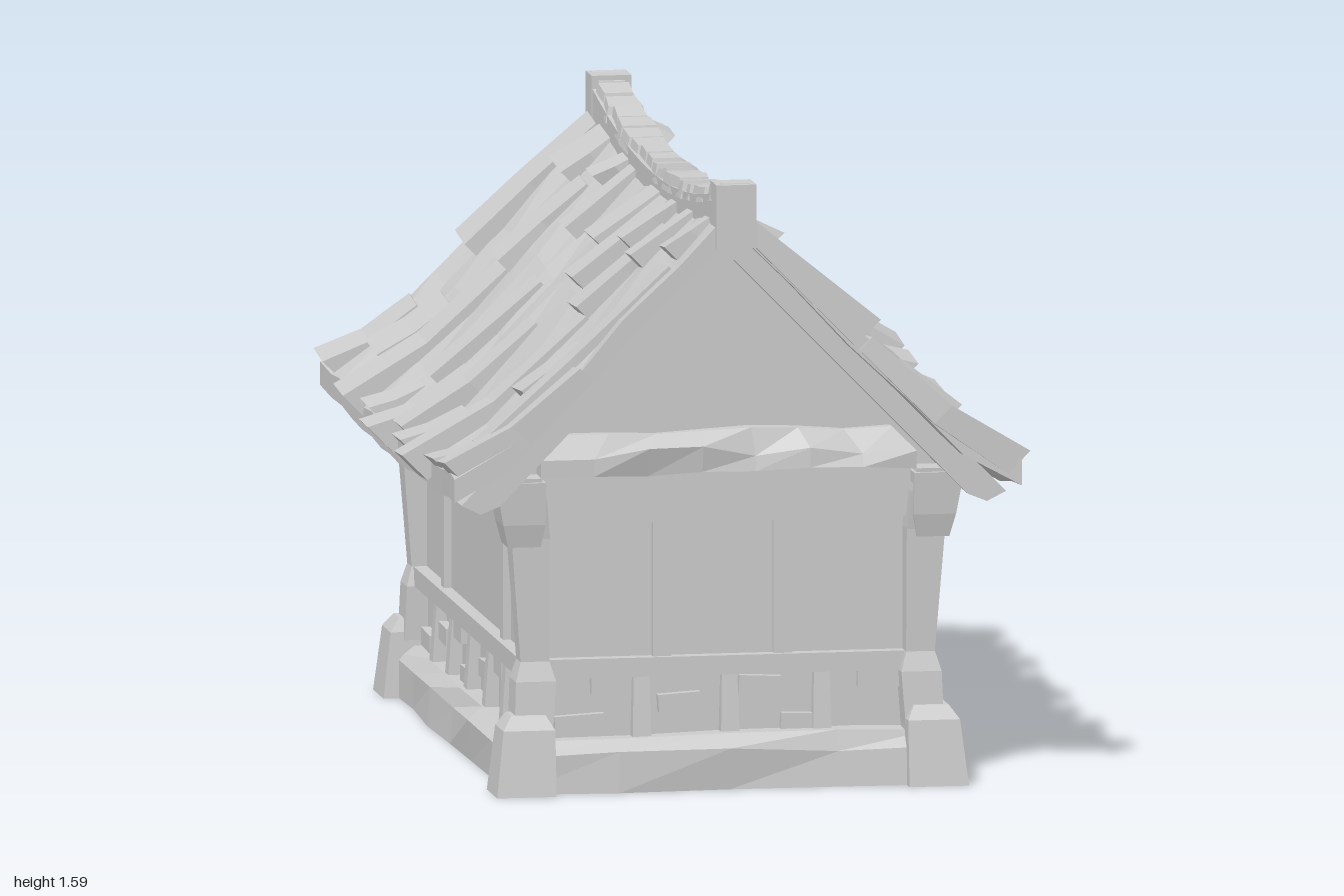
import * as THREE from 'three';

const material = new THREE.MeshStandardMaterial({ color: 0xcccccc, flatShading: true, side: THREE.DoubleSide });

// Repeatable offset in -1..1 for a point, so coincident corners move together
const noise = (a, b, c) => {
  const s = Math.sin(a * 127.1 + b * 311.7 + c * 74.7) * 43758.5453;
  return (s - Math.floor(s)) * 2 - 1;
};

function addMesh(parent, name, geometry) {
  const g = geometry.index ? geometry.toNonIndexed() : geometry;
  g.computeVertexNormals();
  const mesh = new THREE.Mesh(g, material);
  mesh.name = name;
  parent.add(mesh);
  return mesh;
}

// Moves every vertex of a geometry by a rule (x, y, z) => [x, y, z]
function warp(geometry, rule) {
  const p = geometry.attributes.position;
  for (let i = 0; i < p.count; i++) p.setXYZ(i, ...rule(p.getX(i), p.getY(i), p.getZ(i)));
  return geometry;
}

// Box given by its limits
function box(parent, name, x0, x1, y0, y1, z0, z1) {
  const g = new THREE.BoxGeometry(x1 - x0, y1 - y0, z1 - z0);
  g.translate((x0 + x1) / 2, (y0 + y1) / 2, (z0 + z1) / 2);
  return addMesh(parent, name, g);
}

// Solid lofted through rectangular sections [y, x0, x1, z0, z1]
function stack(parent, name, sections) {
  const g = new THREE.BoxGeometry(1, 1, 1, 1, sections.length - 1, 1);
  return addMesh(parent, name, warp(g, (x, y, z) => {
    const s = sections[Math.round((y + 0.5) * (sections.length - 1))];
    return [x < 0 ? s[1] : s[2], s[0], z < 0 ? s[3] : s[4]];
  }));
}

// Roof shape: sagging ridge, 45 degree slope, kicked-out eaves
const roofY = (x, z) => 1.46 + 0.06 * z * z - 1.02 * x + 2 * Math.max(0, x - 0.55) ** 2;
const ridgeTop = (z) => 1.47 + 0.105 * z * z;

function addRoofSlope(parent, side, shingles) {
  const slope = new THREE.Group();
  slope.name = side > 0 ? 'leftRoofSlope' : 'rightRoofSlope';
  parent.add(slope);
  const slab = new THREE.BoxGeometry(1, 1, 1, 5, 1, 16);
  addMesh(slope, 'roofSlab', warp(slab, (px, py, pz) => {
    const u = 0.5 + side * px;
    const z = pz * 2 * (0.945 + 0.045 * u);
    const x = u * (0.71 + 0.03 * z * z);
    const bump = 0.014 * noise(u * 3, pz * 5, side);
    return [side * x, roofY(x, z) + (py > 0 ? 0.015 + bump : -0.05 + bump * 0.5), z];
  }));
  // Wedge shingles, thicker at the lower edge: [z, width, upper x, lower x]
  shingles.forEach(([zc, w, x0, x1], i) => {
    const g = new THREE.BoxGeometry(1, 1, 1, 2, 1, 1);
    const thick = 0.042 + 0.01 * noise(i, 3, side);
    addMesh(slope, 'shingle', warp(g, (px, py, pz) => {
      const u = 0.5 + side * px;
      const skew = 0.012 * noise(i, Math.round(u * 2), side);
      const z = zc + pz * w * (0.9 + 0.12 * u) + skew;
      const x = x0 + (x1 - x0) * u;
      const lift = py > 0 ? 0.018 + thick * u : -0.03;
      return [side * (x + lift * 0.7), roofY(x, z) + lift * 0.7, z];
    }));
  });
}

// One timbered wall, facing local +z
function addWall(parent, name, angle, half, dist, studs, posts, bricks, headTop) {
  const wall = new THREE.Group();
  wall.name = name;
  wall.rotation.y = angle;
  parent.add(wall);
  box(wall, 'topRail', -half, half, 0.69, headTop, dist - 0.05, dist + 0.035);
  box(wall, 'middleRail', -half, half, 0.29, 0.34, dist - 0.05, dist + 0.035);
  for (const u of studs) box(wall, 'stud', u - 0.024, u + 0.024, 0.33, 0.7, dist - 0.05, dist + 0.02);
  posts.forEach((u) => stack(wall, 'shortPost', [
    [0.1, u - 0.025, u + 0.025, dist - 0.04, dist + 0.04],
    [0.3, u - 0.02, u + 0.02, dist - 0.04, dist + 0.025],
  ]));
  for (const [u, y, w] of bricks) {
    const brick = box(wall, 'brick', -w / 2, w / 2, -0.023, 0.023, -0.02, 0.024);
    brick.position.set(u, y, dist);
    brick.rotation.z = 0.07 * noise(u, y, 1);
  }
}

export function createModel() {
  const house = new THREE.Group();
  house.name = 'cottage';

  // Uneven stone plinth with a sloping top edge
  const plinth = new THREE.BoxGeometry(1, 1, 1, 4, 2, 6);
  addMesh(house, 'plinth', warp(plinth, (x, y, z) => {
    const top = y > 0.4, inset = top ? 0.035 : 0;
    const n = 0.012 * noise(x * 3, y, z * 4);
    return [x * 2 * (0.575 - inset + n), top ? 0.138 + n * 0.6 : y < -0.4 ? 0 : 0.1 + n, z * 2 * (0.875 - inset + n)];
  }));
  box(house, 'wallCore', -0.5, 0.5, 0.1, 0.81, -0.78, 0.78);

  // Timber walls on all four sides
  const endBricks = [[-0.3, 0.27, 0.1], [-0.12, 0.22, 0.11], [0.09, 0.26, 0.11], [0.4, 0.27, 0.11], [-0.38, 0.17, 0.13], [0.19, 0.16, 0.09]];
  const sideBricks = [[-0.57, 0.27, 0.1], [-0.41, 0.22, 0.11], [-0.19, 0.26, 0.11], [0.18, 0.22, 0.11],
    [0.4, 0.26, 0.11], [0.69, 0.27, 0.1], [-0.66, 0.165, 0.13], [-0.1, 0.16, 0.1]];
  for (const [name, angle] of [['frontWall', 0], ['backWall', Math.PI]])
    addWall(house, name, angle, 0.48, 0.78, [-0.165, 0.15], [-0.22, 0.01, 0.25], endBricks, 0.825);
  for (const [name, angle] of [['leftWall', Math.PI / 2], ['rightWall', -Math.PI / 2]])
    addWall(house, name, angle, 0.77, 0.5, [-0.43, 0.44], [-0.5, -0.27, 0, 0.27, 0.52], sideBricks, 0.8);

  // Corner posts on tapered stones, with flared heads
  for (const sx of [-1, 1]) for (const sz of [-1, 1]) {
    const corner = new THREE.Group();
    corner.name = 'cornerPost';
    house.add(corner);
    const sections = (list) => list.map(([y, xi, xo, zi, zo]) =>
      [y, Math.min(sx * xi, sx * xo), Math.max(sx * xi, sx * xo), Math.min(sz * zi, sz * zo), Math.max(sz * zi, sz * zo)]);
    stack(corner, 'cornerStone', sections([
      [0, 0.46, 0.615, 0.76, 0.915], [0.17, 0.46, 0.595, 0.77, 0.895], [0.205, 0.48, 0.57, 0.785, 0.865]]));
    stack(corner, 'post', sections([
      [0.15, 0.46, 0.56, 0.76, 0.86], [0.29, 0.45, 0.555, 0.755, 0.85], [0.34, 0.465, 0.54, 0.77, 0.835],
      [0.66, 0.465, 0.565, 0.765, 0.845], [0.76, 0.475, 0.585, 0.77, 0.86], [0.82, 0.49, 0.59, 0.775, 0.865]]));
    stack(corner, 'bracket', sections([
      [0.64, 0.49, 0.575, 0.75, 0.85], [0.7, 0.48, 0.59, 0.74, 0.865], [0.81, 0.48, 0.61, 0.73, 0.875]]));
  }

  // Gables: panel, rough cross beam and rafters at each end
  const outline = (points) => new THREE.Shape(points.map(([x, y]) => new THREE.Vector2(x, y)));
  for (const sz of [1, -1]) {
    const gable = new THREE.Group();
    gable.name = sz > 0 ? 'frontGable' : 'backGable';
    gable.rotation.y = sz > 0 ? 0 : Math.PI;
    house.add(gable);
    const panel = new THREE.ExtrudeGeometry(outline([[-0.6, 0.8], [0.6, 0.8], [0, 1.42]]), { depth: 0.04, bevelEnabled: false });
    addMesh(gable, 'gablePanel', panel.translate(0, 0, 0.75));
    const rafters = new THREE.ExtrudeGeometry(
      outline([[0, 1.48], [-0.71, 0.765], [-0.66, 0.74], [-0.61, 0.76], [0, 1.385], [0.61, 0.76], [0.66, 0.74], [0.71, 0.765]]),
      { depth: 0.15, bevelEnabled: false });
    addMesh(gable, 'rafters', rafters.translate(0, 0, 0.775));
    const beam = new THREE.BoxGeometry(1, 1, 1, 7, 2, 1);
    addMesh(gable, 'gableBeam', warp(beam, (x, y, z) => {
      const n = noise(Math.round(x * 7), y * 2, 2);
      const yy = y > 0.4 ? 0.925 + 0.012 * n : y < -0.4 ? 0.825 + 0.01 * n : 0.875 + 0.02 * n;
      return [x * (y > 0.4 ? 0.86 : 0.98), yy, z < 0 ? 0.76 : (y > 0.4 ? 0.82 : 0.86) + 0.015 * n];
    }));
  }

  // Roof slopes with scattered shingles
  addRoofSlope(house, 1, [
    [0.7, 0.17, 0.02, 0.11], [0.9, 0.14, 0.04, 0.33], [0.38, 0.12, 0.02, 0.08], [0.18, 0.08, 0.03, 0.12],
    [-0.05, 0.16, 0.03, 0.13], [-0.32, 0.1, 0.03, 0.14], [-0.57, 0.1, 0.02, 0.14], [-0.82, 0.09, 0.02, 0.1],
    [0.27, 0.09, 0.11, 0.18], [0.46, 0.26, 0.1, 0.26], [0.57, 0.14, 0.26, 0.43], [0.73, 0.22, 0.28, 0.56],
    [0.2, 0.12, 0.33, 0.53], [-0.07, 0.13, 0.33, 0.58], [0.08, 0.1, 0.14, 0.26], [-0.2, 0.1, 0.13, 0.33],
    [-0.44, 0.13, 0.16, 0.26], [-0.47, 0.12, 0.27, 0.46], [-0.72, 0.14, 0.34, 0.45], [-0.84, 0.1, 0.08, 0.3],
    [0.92, 0.13, 0.34, 0.725], [0.56, 0.12, 0.45, 0.73], [0.35, 0.14, 0.5, 0.7], [0.08, 0.13, 0.5, 0.73],
    [-0.07, 0.12, 0.56, 0.7], [-0.21, 0.13, 0.6, 0.71], [-0.47, 0.13, 0.45, 0.745], [-0.65, 0.15, 0.55, 0.7],
    [-0.92, 0.13, 0.35, 0.72], [0.73, 0.14, 0.6, 0.69],
  ]);
  addRoofSlope(house, -1, [
    [-0.7, 0.17, 0.02, 0.14], [-0.4, 0.1, 0.02, 0.1], [-0.28, 0.09, 0.03, 0.2], [0.2, 0.12, 0.04, 0.26],
    [0.32, 0.08, 0.02, 0.15], [0.57, 0.09, 0.02, 0.17], [0.82, 0.08, 0.02, 0.13], [0.06, 0.14, 0.03, 0.18],
    [-0.88, 0.14, 0.04, 0.36], [0.44, 0.13, 0.08, 0.3], [-0.55, 0.12, 0.12, 0.33], [-0.21, 0.11, 0.3, 0.56],
    [0.72, 0.15, 0.35, 0.49], [0.07, 0.12, 0.36, 0.68], [-0.08, 0.13, 0.5, 0.74], [0.47, 0.12, 0.3, 0.75],
    [-0.55, 0.14, 0.32, 0.73], [0.84, 0.12, 0.15, 0.62], [0.2, 0.13, 0.56, 0.71], [-0.71, 0.17, 0.45, 0.61],
    [0.93, 0.12, 0.4, 0.72], [-0.92, 0.13, 0.5, 0.72], [-0.34, 0.13, 0.58, 0.7], [0.65, 0.14, 0.6, 0.71],
  ]);

  // Sagging ridge beam capped with small uneven tiles
  const ridge = new THREE.BoxGeometry(0.1, 1, 1.9, 1, 1, 12);
  addMesh(house, 'ridgeBeam', warp(ridge, (x, y, z) => [x, y > 0 ? ridgeTop(z) : ridgeTop(z) - 0.14, z]));
  const tiles = 19, pitch = 1.92 / tiles;
  for (let i = 0; i < tiles; i++) {
    const zc = -0.96 + pitch * (i + 0.5);
    const tile = new THREE.BoxGeometry(1, 1, 1);
    addMesh(house, 'ridgeTile', warp(tile, (x, y, z) => {
      const zz = zc + z * pitch * (y > 0 ? 0.78 : 0.98);
      const w = 0.088 + 0.014 * noise(i, z, 5);
      const top = ridgeTop(zz) + 0.024 + 0.007 * noise(i, z, 9);
      return [x * w * (y > 0 ? 0.9 : 1.1), y > 0 ? top : ridgeTop(zz) - 0.02, zz];
    }));
  }
  // Square ridge ends
  for (const s of [-1, 1]) box(house, 'ridgeEnd', -0.052, 0.052, 1.42, 1.585, s * 0.92 - 0.045, s * 0.92 + 0.045);
  return house;
}
